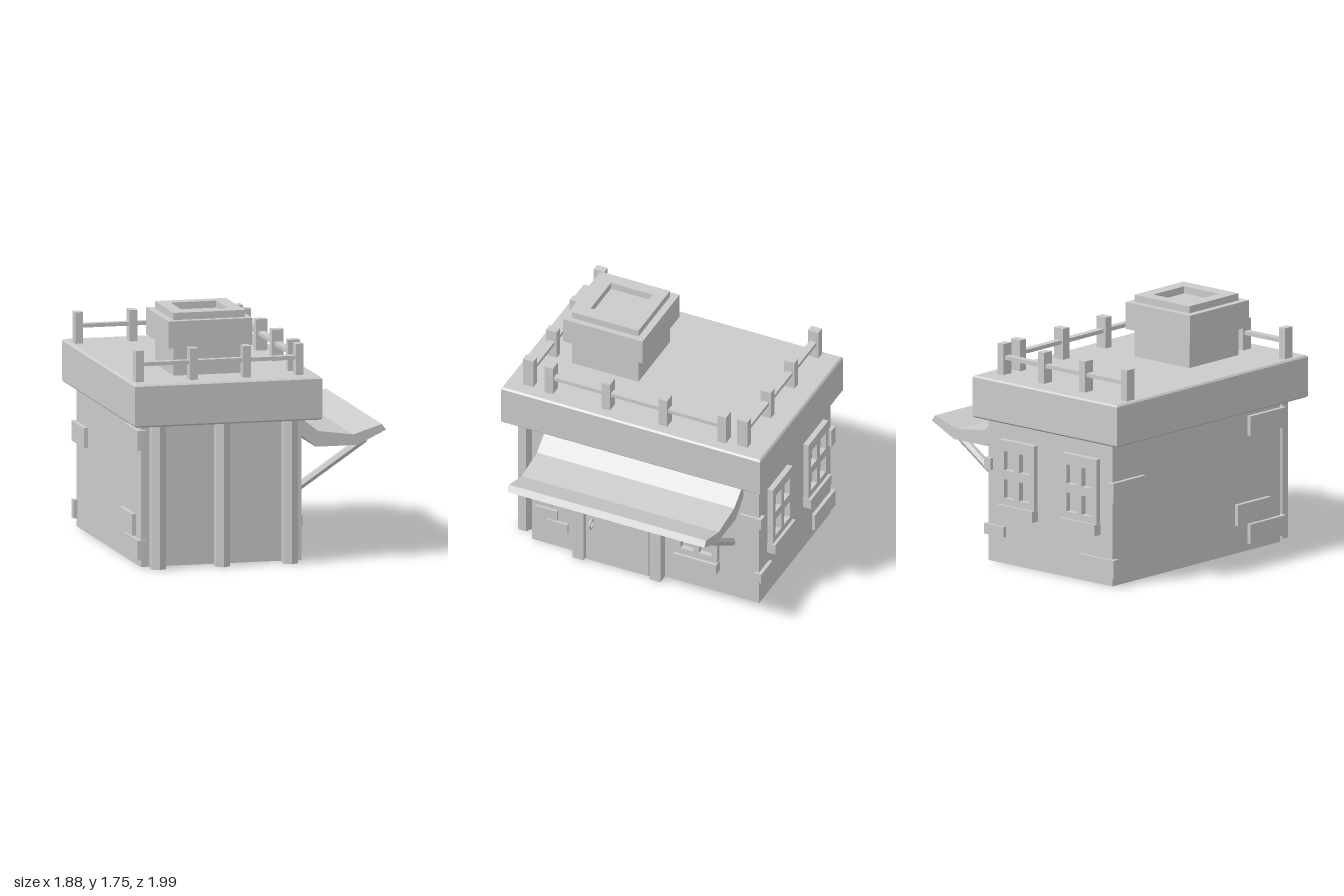
import * as THREE from 'three';

const mat = new THREE.MeshStandardMaterial({ color: 0xcccccc, flatShading: true });

function add(parent, name, geo) {
  const mesh = new THREE.Mesh(geo, mat);
  mesh.name = name;
  parent.add(mesh);
  return mesh;
}

// Box given by its limits on each axis
function box(parent, name, [x0, x1], [y0, y1], [z0, z1]) {
  const mesh = add(parent, name, new THREE.BoxGeometry(x1 - x0, y1 - y0, z1 - z0));
  mesh.position.set((x0 + x1) / 2, (y0 + y1) / 2, (z0 + z1) / 2);
  return mesh;
}

function group(parent, name) {
  const g = new THREE.Group();
  g.name = name;
  parent.add(g);
  return g;
}

const toPoints = (pts) => pts.map(([x, y]) => new THREE.Vector2(x, y));
const rect = (x0, x1, y0, y1) => toPoints([[x0, y0], [x1, y0], [x1, y1], [x0, y1]]);

function extrude(outline, depth, holes = []) {
  const shape = new THREE.Shape(outline);
  holes.forEach((h) => shape.holes.push(new THREE.Path(h)));
  return new THREE.ExtrudeGeometry(shape, { depth, bevelEnabled: false });
}

// Four-pane window facing local +z, origin at the bottom centre of the sill
function makeWindow(parent, name) {
  const g = group(parent, name);
  const holes = [];
  for (const x of [-0.07, 0.07])
    for (const y of [0.195, 0.395]) holes.push(rect(x - 0.048, x + 0.048, y - 0.068, y + 0.068));
  add(g, 'windowFrame', extrude(rect(-0.16, 0.16, 0.07, 0.54), 0.04, holes));
  box(g, 'windowSill', [-0.165, 0.165], [0, 0.08], [-0.01, 0.062]);
  return g;
}

// Arch outline with cut corners: half width w, height h, corner start s
const arch = (w, h, s, cut) => [[w, 0], [w, s], [w - cut, h], [-w + cut, h], [-w, s], [-w, 0]];

export function createModel() {
  const model = new THREE.Group();
  model.name = 'house';

  // Walls and overhanging flat roof
  box(model, 'walls', [-0.85, 0.3], [0, 1.02], [-0.93, 0.81]);
  const b = 0.012;
  const roofGeo = new THREE.ExtrudeGeometry(new THREE.Shape(rect(-0.94 + b, 0.4 - b, -1 + b, 0.985 - b)), {
    depth: 0.3 - 2 * b, bevelEnabled: true, bevelSize: b, bevelThickness: b, bevelSegments: 1,
  });
  roofGeo.rotateX(-Math.PI / 2);
  add(model, 'roofSlab', roofGeo).position.y = 1.01 + b;

  // Hexagonal posts along the front
  for (const x of [-0.755, -0.295, 0.19]) {
    const post = add(model, 'frontPost', new THREE.CylinderGeometry(0.058, 0.058, 1.02, 6));
    post.position.set(x, 0.51, 0.912);
  }

  // Chimney with a shallow opening
  const chimney = group(model, 'chimney');
  box(chimney, 'chimneyBase', [-0.58, -0.07], [1.3, 1.52], [0.17, 0.68]);
  box(chimney, 'chimneyBlock', [-0.63, -0.03], [1.51, 1.7], [0.12, 0.73]);
  const cap = extrude(rect(-0.58, -0.07, -0.68, -0.17), 0.05, [rect(-0.49, -0.165, -0.58, -0.26)]);
  cap.rotateX(-Math.PI / 2);
  add(chimney, 'chimneyCap', cap).position.y = 1.7;

  // Roof railings at the front, back and right
  const railing = group(model, 'railing');
  for (const z of [0.84, -0.8]) {
    for (const x of [-0.875, -0.487, -0.107, 0.27])
      box(railing, 'railPost', [x - 0.028, x + 0.028], [1.3, 1.53], [z - 0.04, z + 0.04]);
    box(railing, 'rail', [-0.86, 0.26], [1.418, 1.445], [z - 0.025, z + 0.025]);
  }
  for (const z of [-0.65, -0.2, 0.238, 0.675])
    box(railing, 'railPost', [0.232, 0.316], [1.3, 1.53], [z - 0.032, z + 0.032]);
  box(railing, 'rail', [0.249, 0.299], [1.418, 1.445], [-0.64, 0.66]);

  // Curved awning on the right wall with two slanted struts
  const awning = group(model, 'awning');
  const profile = toPoints([
    [0.29, 1.005], [0.45, 0.88], [0.7, 0.845], [0.905, 0.91],
    [0.935, 0.868], [0.73, 0.77], [0.43, 0.77], [0.29, 0.89],
  ]);
  add(awning, 'awningRoof', extrude(profile.reverse(), 1.51)).position.z = -0.81;
  for (const z of [0.63, -0.72]) {
    const from = new THREE.Vector3(0.28, 0.455, z);
    const to = new THREE.Vector3(0.8, 0.805, z);
    const strut = add(awning, 'awningStrut', new THREE.CylinderGeometry(0.03, 0.03, from.distanceTo(to), 6));
    strut.position.copy(from).lerp(to, 0.5);
    strut.quaternion.setFromUnitVectors(new THREE.Vector3(0, 1, 0), to.sub(from).normalize());
  }

  // Arched doorway on the right wall
  const doorway = group(model, 'doorway');
  doorway.position.set(0.3, 0, 0.128);
  doorway.rotation.y = Math.PI / 2;
  const inner = arch(0.253, 0.69, 0.615, 0.07);
  const outer = [[0.337, 0], [0.337, 0.59], [0.325, 0.64], [0.19, 0.78],
    [-0.19, 0.78], [-0.325, 0.64], [-0.337, 0.59], [-0.337, 0]];
  add(doorway, 'doorFrame', extrude(toPoints([...outer, ...inner.reverse()]), 0.075));
  const panel = arch(0.24, 0.67, 0.6, 0.065).map(([x, y]) => [x, y + 0.01]);
  add(doorway, 'door', extrude(toPoints(panel), 0.06));
  const handle = add(doorway, 'doorHandle', new THREE.TorusGeometry(0.032, 0.009, 6, 14));
  handle.rotation.y = Math.PI / 2;
  handle.position.set(-0.187, 0.342, 0.085);

  // Windows: one beside the door, two at the back
  const side = makeWindow(model, 'sideWindow');
  side.position.set(0.3, 0.19, -0.465);
  side.rotation.y = Math.PI / 2;
  for (const x of [-0.575, 0.005]) {
    const w = makeWindow(model, 'backWindow');
    w.position.set(x, 0.35, -0.93);
    w.rotation.y = Math.PI;
  }

  // Protruding bricks on the walls and corners
  const bricks = group(model, 'bricks');
  [
    [[0.27, 0.32], [0.23, 0.31], [0.61, 0.78]],
    [[0.27, 0.32], [0.14, 0.22], [0.53, 0.69]],
    [[0.26, 0.32], [0.65, 0.735], [-0.955, -0.79]],
    [[0.14, 0.32], [0.19, 0.265], [-0.955, -0.9]],
    [[-0.88, -0.82], [0.6, 0.74], [-0.955, -0.62]],
    [[-0.88, -0.55], [0.06, 0.19], [-0.955, -0.9]],
    [[-0.88, -0.82], [0.2, 0.35], [0.34, 0.68]],
    [[-0.88, -0.82], [0.05, 0.19], [0.47, 0.84]],
    [[-0.88, -0.82], [0.82, 0.96], [0.47, 0.84]],
  ].forEach((r) => box(bricks, 'brick', ...r));

  return model;
}
